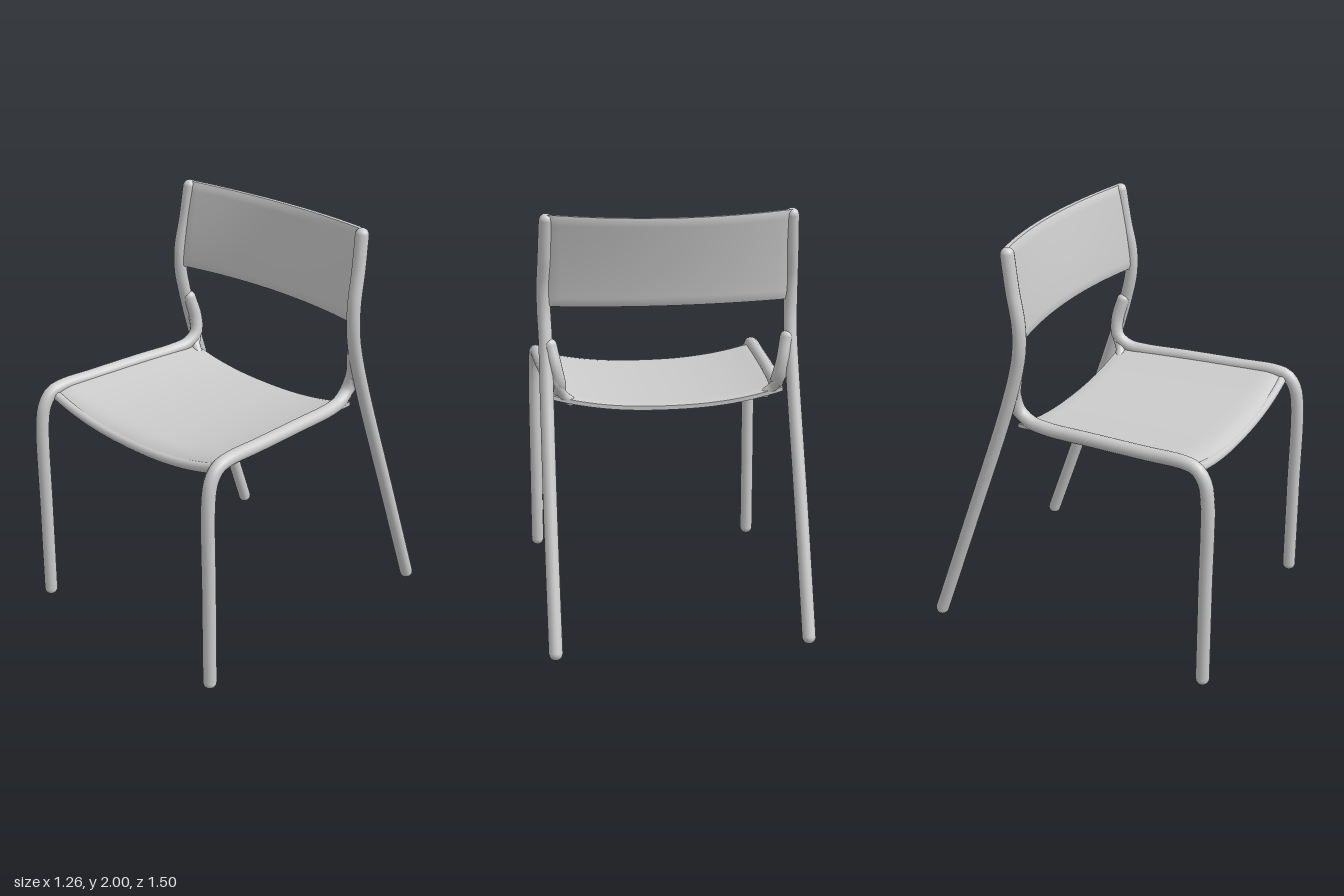
import * as THREE from 'three';

const material = new THREE.MeshStandardMaterial({ color: 0xcccccc });
const R = 0.033;

function add(parent, name, geometry) {
  const mesh = new THREE.Mesh(geometry, material);
  mesh.name = name;
  parent.add(mesh);
  return mesh;
}

// Round bar through points, with domed ends
function bar(name, points, radius = R) {
  const group = new THREE.Group();
  group.name = name;
  const pts = points.map((p) => new THREE.Vector3(...p));
  const curve = new THREE.CatmullRomCurve3(pts, false, 'centripetal');
  add(group, name + 'Tube', new THREE.TubeGeometry(curve, 72, radius, 14));
  for (const p of [pts[0], pts[pts.length - 1]]) {
    add(group, name + 'Cap', new THREE.SphereGeometry(radius, 14, 10)).position.copy(p);
  }
  return group;
}

// Thin panel: a subdivided box whose vertices are moved by a rule
// rule(u, v, t): u and v run -1..1 across the panel, t is the offset through its thickness
function panel(name, nu, nv, thickness, rule) {
  const g = new THREE.BoxGeometry(2, 2, 2, nu, nv, 2);
  const p = g.attributes.position;
  for (let i = 0; i < p.count; i++) {
    const u = p.getX(i), v = p.getY(i);
    const edge = Math.max(Math.abs(u), Math.abs(v)) > 0.999 ? 0.6 : 1; // softened rim
    p.setXYZ(i, ...rule(u, v, p.getZ(i) * edge * thickness / 2));
  }
  g.computeVertexNormals();
  return add(new THREE.Group(), name, g);
}

export function createModel() {
  const chair = new THREE.Group();
  chair.name = 'chair';

  for (const s of [1, -1]) {
    const side = s > 0 ? 'left' : 'right';
    const at = (list) => list.map(([x, y, z]) => [s * x, y, z]);

    // Front leg bending into the seat rail, then rising to meet the upright
    chair.add(bar(side + 'FrontLegAndRail', at([
      [0.588, R, 0.715], [0.586, 0.5, 0.715], [0.583, 0.97, 0.713], [0.581, 1.06, 0.695],
      [0.579, 1.115, 0.655], [0.576, 1.133, 0.59], [0.568, 1.133, 0.4], [0.553, 1.133, 0.1],
      [0.538, 1.132, -0.12], [0.528, 1.145, -0.21], [0.524, 1.19, -0.27],
      [0.54, 1.27, -0.285], [0.562, 1.38, -0.262],
    ])));

    // Splayed rear leg continuing up as the backrest upright
    chair.add(bar(side + 'RearLegAndUpright', at([
      [0.598, R, -0.715], [0.594, 0.6, -0.515], [0.585, 1.2, -0.308], [0.582, 1.42, -0.246],
      [0.585, 1.53, -0.226], [0.585, 1.65, -0.226], [0.578, 1.8, -0.255], [0.57, 2 - R, -0.28],
    ])));

    // Gusset thickening the joint between seat corner and upright
    chair.add(bar(side + 'JointWeb', at([
      [0.47, 1.1, -0.235], [0.505, 1.135, -0.25], [0.535, 1.2, -0.285], [0.575, 1.3, -0.28],
    ]), 0.024));
  }

  // Dished seat with a front lip that rolls down
  chair.add(panel('seat', 32, 28, 0.034, (u, v, t) => {
    const z = 0.19 - v * 0.455;
    const x = u * (0.55 + 0.022 * (z + 0.26) / 0.9);
    const lip = Math.max(0, (z - 0.54) / 0.105);
    const y = 1.055 + 0.07 * Math.abs(u) ** 2.3 - 0.03 * lip * lip;
    return [x, y + t, z + t * lip * 0.5];
  }));

  // Rounded bead along the seat's front edge
  const lipPoints = [];
  for (let i = -6; i <= 6; i++) {
    const u = i / 6;
    lipPoints.push([u * 0.565, 1.023 + 0.078 * Math.abs(u) ** 2.3, 0.633]);
  }
  chair.add(bar('seatFrontLip', lipPoints, 0.023));

  // Backrest curved around the sitter and leaning back
  chair.add(panel('backrest', 36, 20, 0.036, (u, v, t) => {
    const h = (v + 1) / 2;
    const bow = 1 - u * u;
    const x = u * 0.575;
    const y = 1.56 + h * (0.435 - 0.015 * bow);
    const z = -0.225 - 0.06 * h ** 1.3 - (0.066 + 0.016 * h) * bow;
    return [x, y, z + t];
  }));

  return chair;
}
